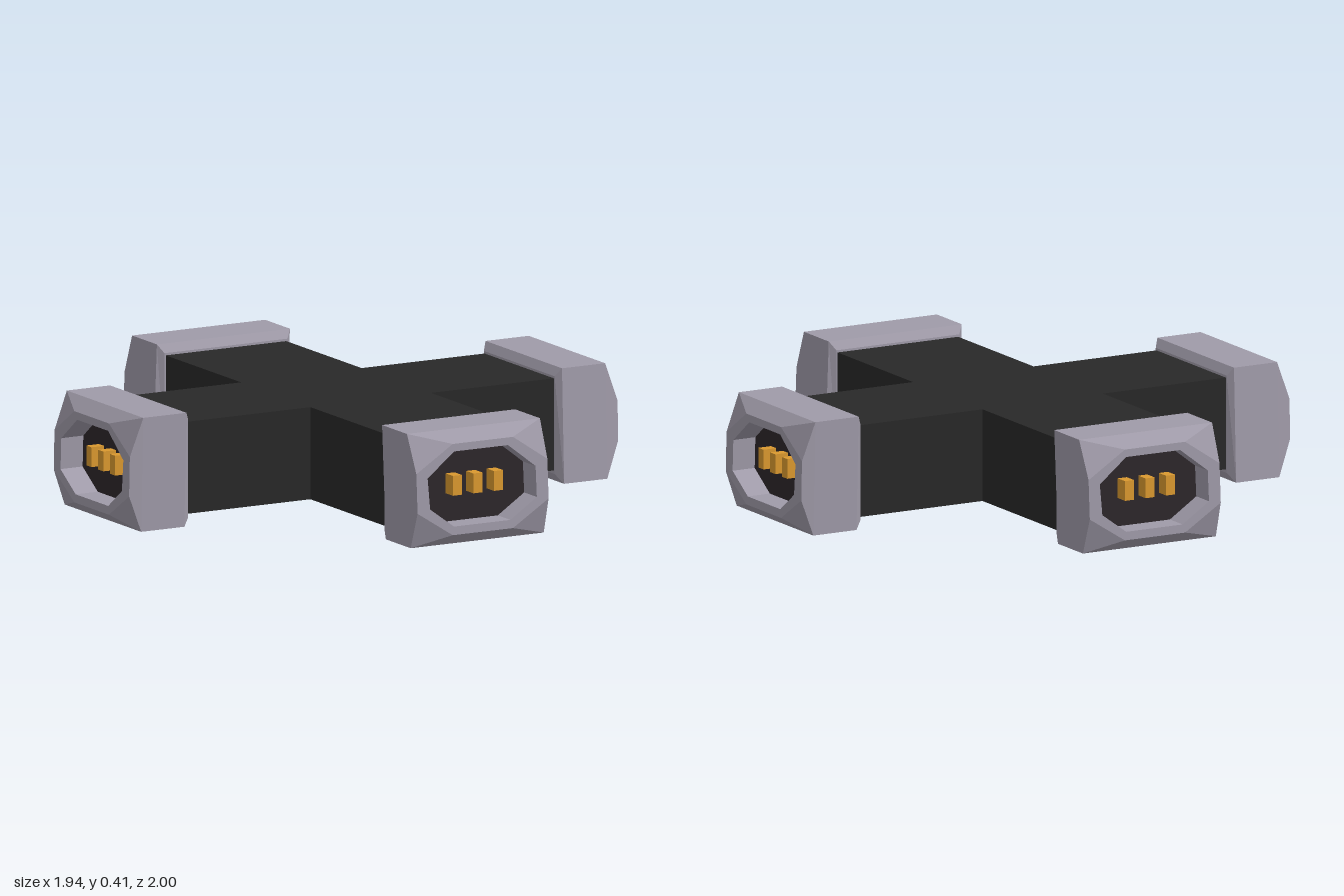
import * as THREE from 'three';

const mat = (color) => new THREE.MeshStandardMaterial({ color, flatShading: true });
const DARK = mat(0x282828), GREY = mat(0x9f9aa8), FLOOR = mat(0x2c262a), GOLD = mat(0xd9982f);

function mesh(name, geometry, material) {
  const m = new THREE.Mesh(geometry, material);
  m.name = name;
  return m;
}

// Joins rings [x, y, z] (anticlockwise seen from +z) and closes the first one.
function loft(rings) {
  const pos = [];
  const tri = (a, b, c) => {
    const [A, B, C] = [a, b, c].map((p) => new THREE.Vector3(...p));
    if (B.sub(A).cross(C.sub(A)).length() > 1e-9) pos.push(...a, ...b, ...c);
  };
  for (let r = 0; r < rings.length - 1; r++) {
    const p = rings[r], q = rings[r + 1], n = p.length;
    for (let i = 0; i < n; i++) {
      const j = (i + 1) % n;
      tri(p[i], p[j], q[j]);
      tri(p[i], q[j], q[i]);
    }
  }
  const first = rings[0];
  for (let i = 1; i < first.length - 1; i++) tri(first[0], first[i + 1], first[i]);
  const g = new THREE.BufferGeometry();
  g.setAttribute('position', new THREE.Float32BufferAttribute(pos, 3));
  g.computeVertexNormals();
  return g;
}

// Slightly skewed rectangle with each corner doubled, to match the octagons.
const rect = [[0.28, 0], [0.28, 0], [0.265, 0.405], [0.265, 0.405],
  [-0.265, 0.405], [-0.265, 0.405], [-0.25, 0], [-0.25, 0]];
const back = [[0.245, 0.03], [0.245, 0.03], [0.245, 0.375], [0.245, 0.375],
  [-0.245, 0.375], [-0.245, 0.375], [-0.245, 0.03], [-0.245, 0.03]];
const outer = [[0.13, 0.04], [0.272, 0.13], [0.267, 0.27], [0.13, 0.362],
  [-0.11, 0.362], [-0.255, 0.27], [-0.25, 0.13], [-0.11, 0.04]];
const inner = [[0.12, 0.07], [0.225, 0.14], [0.22, 0.25], [0.11, 0.335],
  [-0.105, 0.335], [-0.21, 0.25], [-0.2, 0.14], [-0.105, 0.07]];

// Connector end facing +z; flip mirrors it in x.
function connector(name, flip) {
  const s = flip ? -1 : 1;
  const ring = (pts, z) => {
    const r = pts.map(([x, y]) => [s * x, y, z]);
    return flip ? r.reverse() : r;
  };
  const g = new THREE.Group();
  g.name = name;
  g.add(mesh('housing', loft([
    ring(back, 0.762), ring(rect, 0.78), ring(rect, 0.952),
    ring(outer, 1), ring(inner, 1), ring(inner, 0.91),
  ]), GREY));
  // dark floor of the socket
  const shape = new THREE.Shape(ring(inner, 0).map(([x, y]) => new THREE.Vector2(x, y)));
  const floor = mesh('socketFloor', new THREE.ShapeGeometry(shape), FLOOR);
  floor.position.z = 0.912;
  g.add(floor);
  // three contact pins
  for (const x of [-0.07, 0.012, 0.094]) {
    const pin = mesh('contactPin', new THREE.BoxGeometry(0.036, 0.07, 0.055), GOLD);
    pin.position.set(s * x, 0.205, 0.935);
    g.add(pin);
  }
  return g;
}

export function createModel() {
  const model = new THREE.Group();
  model.name = 'crossConnector';

  // cross-shaped body
  const w = 0.24, lx = 0.75, lz = 0.78;
  const outline = [[w, -lz], [w, -w], [lx, -w], [lx, w], [w, w], [w, lz],
    [-w, lz], [-w, w], [-lx, w], [-lx, -w], [-w, -w], [-w, -lz]];
  const cross = new THREE.Shape(outline.map(([x, y]) => new THREE.Vector2(x, y)));
  const body = new THREE.ExtrudeGeometry(cross, { depth: 0.325, bevelEnabled: false });
  body.rotateX(-Math.PI / 2).translate(0, 0.042, 0);
  model.add(mesh('crossBody', body, DARK));

  // one connector per arm; the side arms are mirrored and a little shorter
  const ends = [['frontConnector', 0, false], ['leftConnector', 1, true],
    ['backConnector', 2, false], ['rightConnector', 3, true]];
  for (const [name, turn, side] of ends) {
    const end = connector(name, side);
    const a = turn * Math.PI / 2, offset = side ? -0.032 : 0;
    end.rotation.y = a;
    end.position.set(Math.sin(a) * offset, 0, Math.cos(a) * offset);
    model.add(end);
  }
  return model;
}
